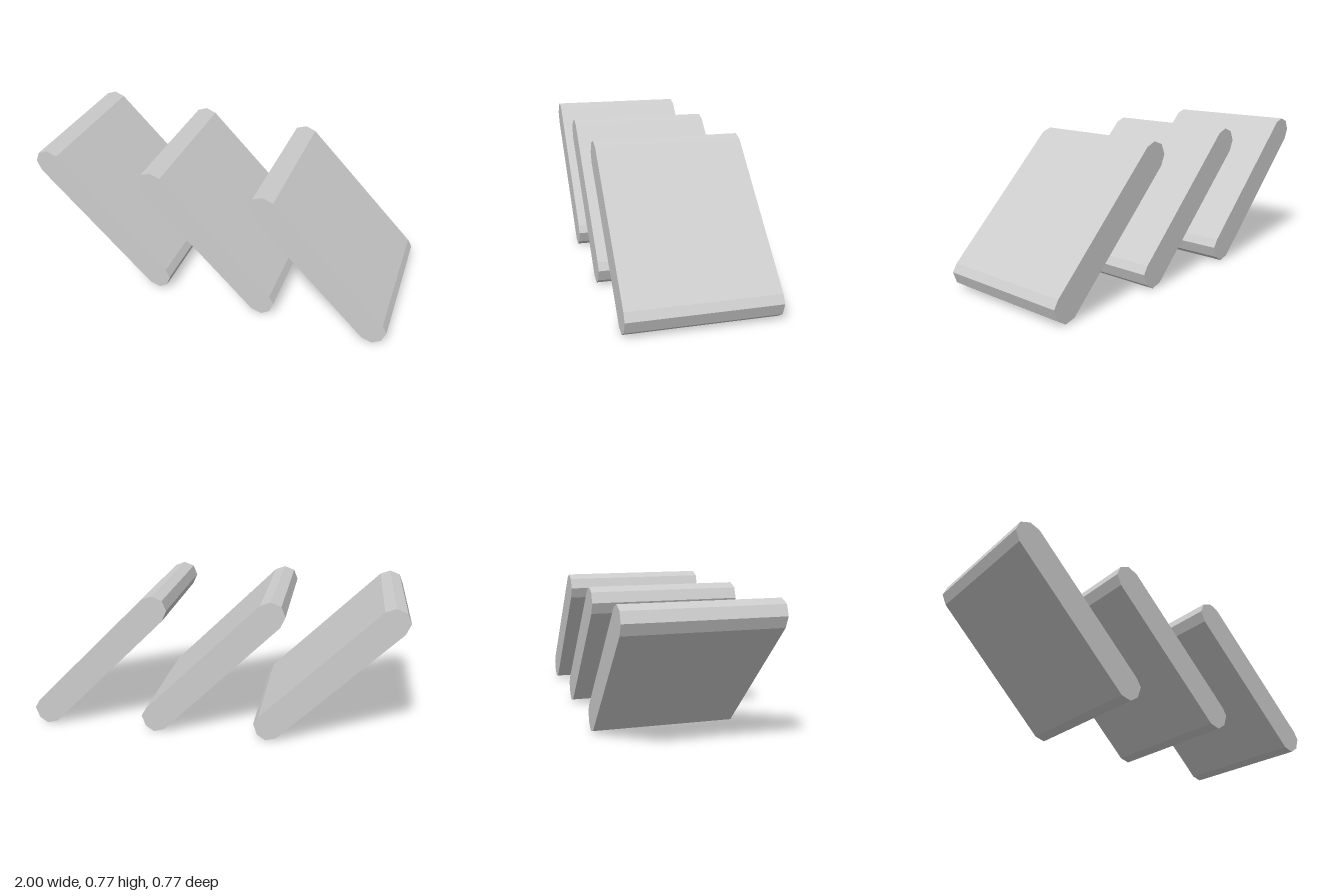
import * as THREE from 'three';

export function createModel() {
  const group = new THREE.Group();
  const grey = new THREE.MeshStandardMaterial({ color: 0xcccccc, flatShading: true });
  grey.name = 'light grey';

  // Slanted slat cross-section with faceted round ends, relative to the slat's centre line
  const depth = 0.77;
  const profile = [
    [-0.385, 0.695], [-0.36, 0.638], [0.262, 0.016], [0.318, 0.0], [0.364, 0.03],
    [0.385, 0.09], [0.36, 0.132], [-0.254, 0.748], [-0.308, 0.769], [-0.363, 0.748],
  ];
  const shape = new THREE.Shape(profile.map(([x, y]) => new THREE.Vector2(x, y)));
  const geometry = new THREE.ExtrudeGeometry(shape, { depth, bevelEnabled: false });
  geometry.translate(0, 0, -depth / 2);

  // Three identical slats in a row
  ['rightSlat', 'middleSlat', 'leftSlat'].forEach((name, i) => {
    const slat = new THREE.Mesh(geometry, grey);
    slat.name = name;
    slat.position.x = (i - 1) * 0.615;
    group.add(slat);
  });
  return group;
}
